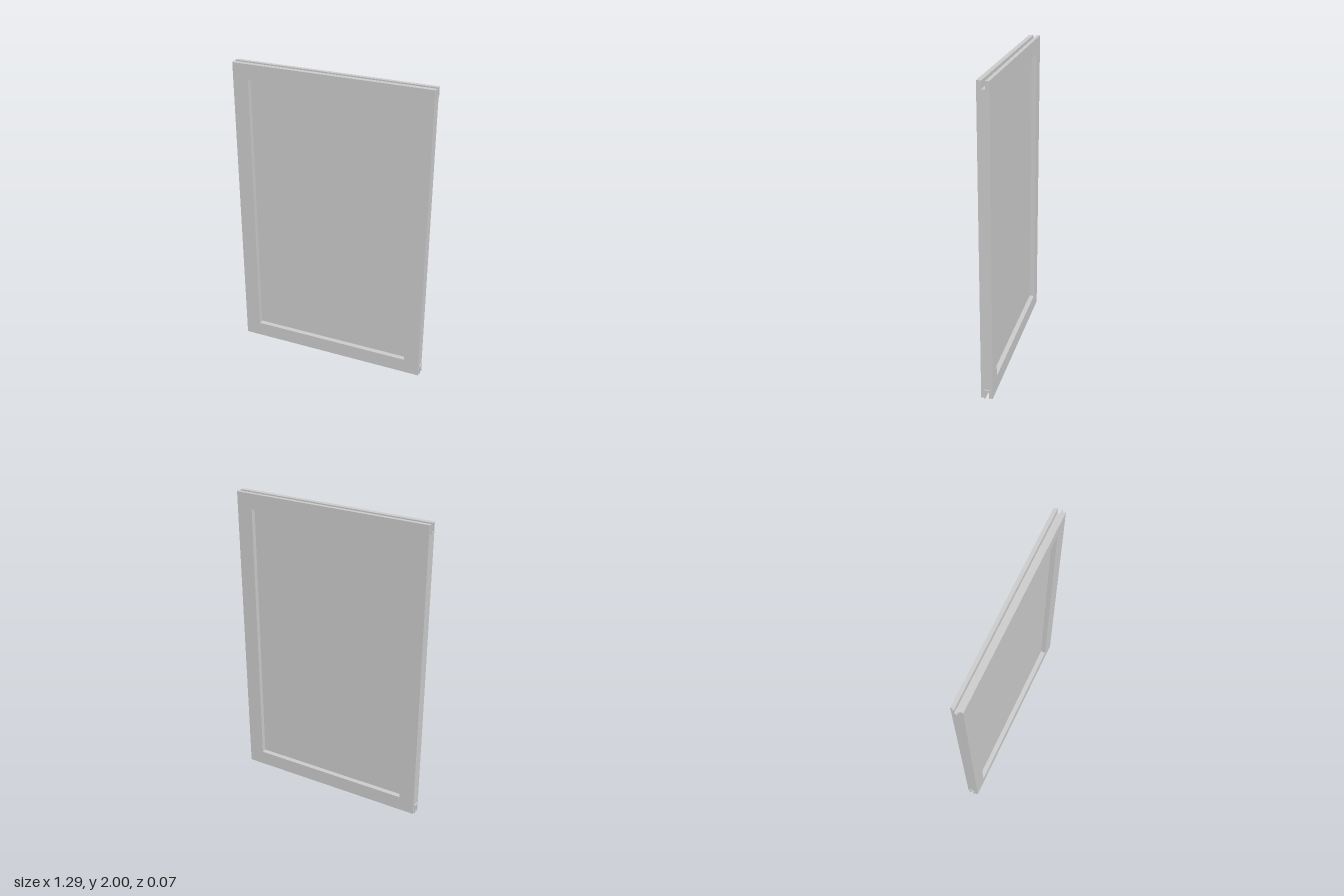
import * as THREE from 'three';

const W = 0.64, H = 2, D = 0.037;           // half width, height, half depth
const IN_X = 0.538, BORDER = 0.1;           // half opening width, rail height
const GZ = -0.003, GW = 0.011, GD = 0.046;  // groove centre, half width, depth

export function createModel() {
  const model = new THREE.Group();
  model.name = 'slidingDoor';
  const material = new THREE.MeshStandardMaterial({ color: 0xcccccc, flatShading: true });

  const add = (name, geometry, x, y, z) => {
    const mesh = new THREE.Mesh(geometry, material);
    mesh.name = name;
    mesh.position.set(x, y, z);
    model.add(mesh);
    return mesh;
  };

  // U section open at the bottom, extruded along x and centred on it
  const channel = (z0, z1, height, length) => {
    const points = [
      [z0, 0], [GZ - GW, 0], [GZ - GW, GD], [GZ + GW, GD],
      [GZ + GW, 0], [z1, 0], [z1, height], [z0, height],
    ].map(([z, y]) => new THREE.Vector2(-z, y));
    const geometry = new THREE.ExtrudeGeometry(new THREE.Shape(points), { depth: length, bevelEnabled: false });
    return geometry.translate(0, 0, -length / 2).rotateY(Math.PI / 2);
  };

  // Grooved rails; the top one is the bottom section turned over about z
  const rail = channel(-D, D, BORDER, 2 * W);
  add('bottomRail', rail, 0, 0, 0);
  add('topRail', rail, 0, H, 0).rotation.z = Math.PI;

  // Stiles and the U-shaped guides at the ends of the grooves
  const stile = new THREE.BoxGeometry(W - IN_X, H - 2 * BORDER, 2 * D);
  const guide = channel(GZ - 0.02, GZ + 0.02, 0.061, 0.007);
  for (const [side, s] of [['left', 1], ['right', -1]]) {
    add(side + 'Stile', stile, s * (W + IN_X) / 2, H / 2, 0);
    add(side + 'BottomGuide', guide, s * (W + 0.0035), 0, 0);
    add(side + 'TopGuide', guide, s * (W + 0.0035), H, 0).rotation.z = Math.PI;
  }

  // Thin panel recessed on both faces
  add('panel', new THREE.BoxGeometry(2 * IN_X, H - 2 * BORDER, 0.01), 0, H / 2, 0);

  return model;
}
